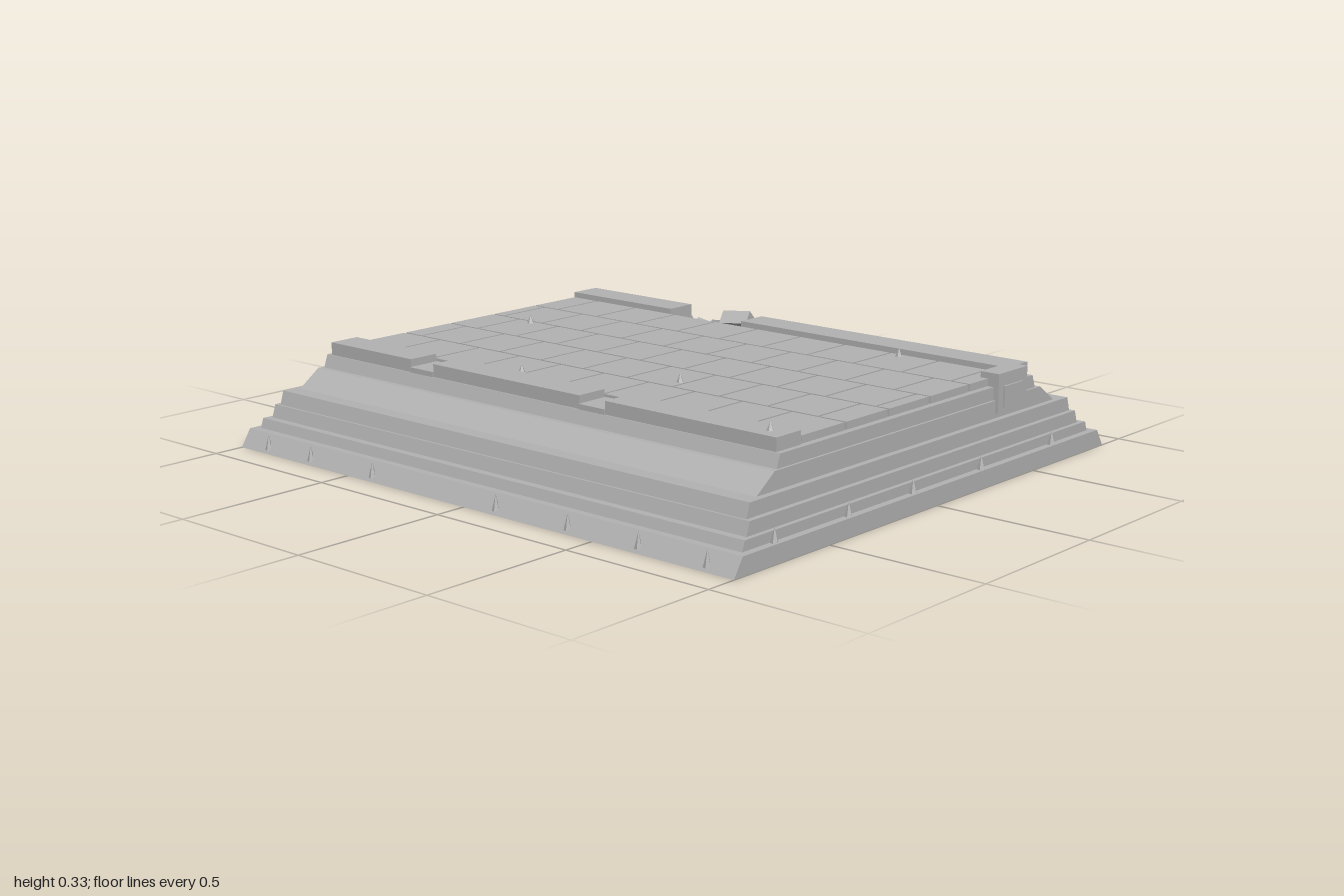
import * as THREE from 'three';

export function createModel() {
  const group = new THREE.Group();
  const stone = new THREE.MeshStandardMaterial({ color: 0xb2b2b2 });
  stone.name = 'grey stone';

  const add = (name, geometry, x = 0, y = 0, z = 0) => {
    const mesh = new THREE.Mesh(geometry, stone);
    mesh.name = name;
    mesh.position.set(x, y, z);
    group.add(mesh);
    return mesh;
  };
  // Box given by its limits on each axis
  const block = (name, x0, x1, y0, y1, z0, z1) =>
    add(name, new THREE.BoxGeometry(x1 - x0, y1 - y0, z1 - z0),
      (x0 + x1) / 2, (y0 + y1) / 2, (z0 + z1) / 2);

  // Collapsed breach: a slope cut into the right side
  const breachBack = -0.45, breachFront = -0.14;
  const slopeX = y => 0.89 - (y - 0.03) * 1.45;
  const slopeY = x => 0.03 + (0.89 - x) / 1.45;

  // Stepped tiers: bottom, top, half width at bottom and top, half depth
  const tiers = [
    [0, 0.055, 0.9, 0.865, 1],
    [0.055, 0.085, 0.84, 0.83, 0.977],
    [0.085, 0.125, 0.805, 0.792, 0.962],
    [0.125, 0.168, 0.785, 0.772, 0.945],
    [0.168, 0.222, 0.72, 0.645, 0.925],
    [0.222, 0.262, 0.627, 0.612, 0.917],
  ];
  for (const [y0, y1, w0, w1, d] of tiers) {
    const sections = [[-d, breachBack, false], [breachBack, breachFront, true], [breachFront, d, false]];
    for (const [z0, z1, cut] of sections) {
      const r0 = cut ? Math.min(w0, slopeX(y0)) : w0;
      const r1 = cut ? Math.min(w1, slopeX(y1)) : w1;
      const shape = new THREE.Shape([
        new THREE.Vector2(-w0, y0), new THREE.Vector2(r0, y0),
        new THREE.Vector2(r1, y1), new THREE.Vector2(-w1, y1),
      ]);
      add('tier', new THREE.ExtrudeGeometry(shape, { depth: z1 - z0, bevelEnabled: false }), 0, 0, z0);
    }
  }

  // Staggered paving slabs, one row per strip
  const firstJoints = [-0.73, -0.82, -0.77, -0.85, -0.79];
  const gap = 0.004;
  firstJoints.forEach((joint, i) => {
    const x = -0.5 + i * 0.2;
    let start = -0.9;
    for (let end = joint; start < 0.88; end += 0.18) {
      const stop = end > 0.87 ? 0.9 : end;
      block('pavingSlab', x + gap, x + 0.2 - gap, 0.255, 0.285, start + gap, stop - gap);
      start = stop;
    }
  });

  // Left parapet with two low worn sections
  for (const [z0, z1] of [[-0.9, -0.53], [-0.43, 0.18], [0.28, 0.9]])
    block('leftParapet', -0.608, -0.503, 0.255, 0.302, z0, z1);
  for (const z of [-0.53, 0.18])
    block('wornParapet', -0.612, -0.5, 0.255, 0.278, z, z + 0.1);

  // Right parapet, broken at the breach
  block('rightParapet', 0.5, 0.607, 0.255, 0.302, -0.9, breachBack);
  block('rightParapet', 0.5, 0.607, 0.255, 0.302, breachFront, 0.9);

  // Front corner block with a framed panel
  block('cornerBlock', 0.4, 0.553, 0.183, 0.304, 0.87, 0.935);
  block('cornerPanel', 0.425, 0.525, 0.197, 0.264, 0.93, 0.941);

  // Rubble on the slope: x, z, length, width, height, turn
  const rubble = [
    [0.57, -0.2, 0.11, 0.1, 0.05, 0.1], [0.63, -0.3, 0.09, 0.11, 0.05, -0.3],
    [0.82, -0.33, 0.09, 0.1, 0.045, 0.5], [0.715, -0.31, 0.06, 0.07, 0.05, 0.3],
    [0.64, -0.42, 0.05, 0.06, 0.045, 0.2], [0.73, -0.425, 0.08, 0.05, 0.05, 0.5],
    [0.81, -0.21, 0.07, 0.07, 0.04, 0.1], [0.77, -0.37, 0.08, 0.05, 0.05, -0.5],
    [0.73, -0.37, 0.06, 0.05, 0.06, 0.8], [0.68, -0.37, 0.09, 0.05, 0.04, -0.6],
    [0.76, -0.29, 0.05, 0.05, 0.04, 0.9], [0.85, -0.27, 0.05, 0.04, 0.035, 0.4],
    [0.7, -0.24, 0.04, 0.04, 0.03, 0.7],
  ];
  rubble.forEach(([x, z, l, w, h, turn], i) => {
    const chunk = add('rubble', new THREE.BoxGeometry(l, h, w), x, slopeY(x) + h * 0.3, z);
    chunk.rotation.set(((i * 7) % 5 - 2) * 0.1, turn, -0.6 + ((i * 3) % 4 - 1.5) * 0.1, 'ZXY');
  });

  // Small pointed tufts along the ledges and on the deck
  const tuft = (x, y, z, h = 0.045) => {
    const geometry = new THREE.ConeGeometry(0.012, h, 5).toNonIndexed();
    geometry.computeVertexNormals();
    add('tuft', geometry, x, y + h / 2, z);
  };
  for (const x of [-0.72, -0.4, -0.1, 0.24, 0.62]) tuft(x, 0.055, 0.987);
  for (const x of [-0.64, -0.28, 0.16, 0.52]) tuft(x, 0.055, -0.987);
  for (const z of [-0.88, -0.68, -0.4, 0.12, 0.4, 0.66, 0.9]) tuft(-0.888, 0.01, z, 0.05);
  for (const z of [-0.86, -0.6, 0.08, 0.32, 0.6, 0.84]) tuft(0.885, 0.01, z, 0.05);
  for (const [x, z] of [[0.08, -0.7], [-0.46, -0.2], [-0.24, 0.24], [0.47, 0.52]]) tuft(x, 0.283, z, 0.03);
  tuft(-0.56, 0.3, 0.84, 0.026);

  return group;
}
